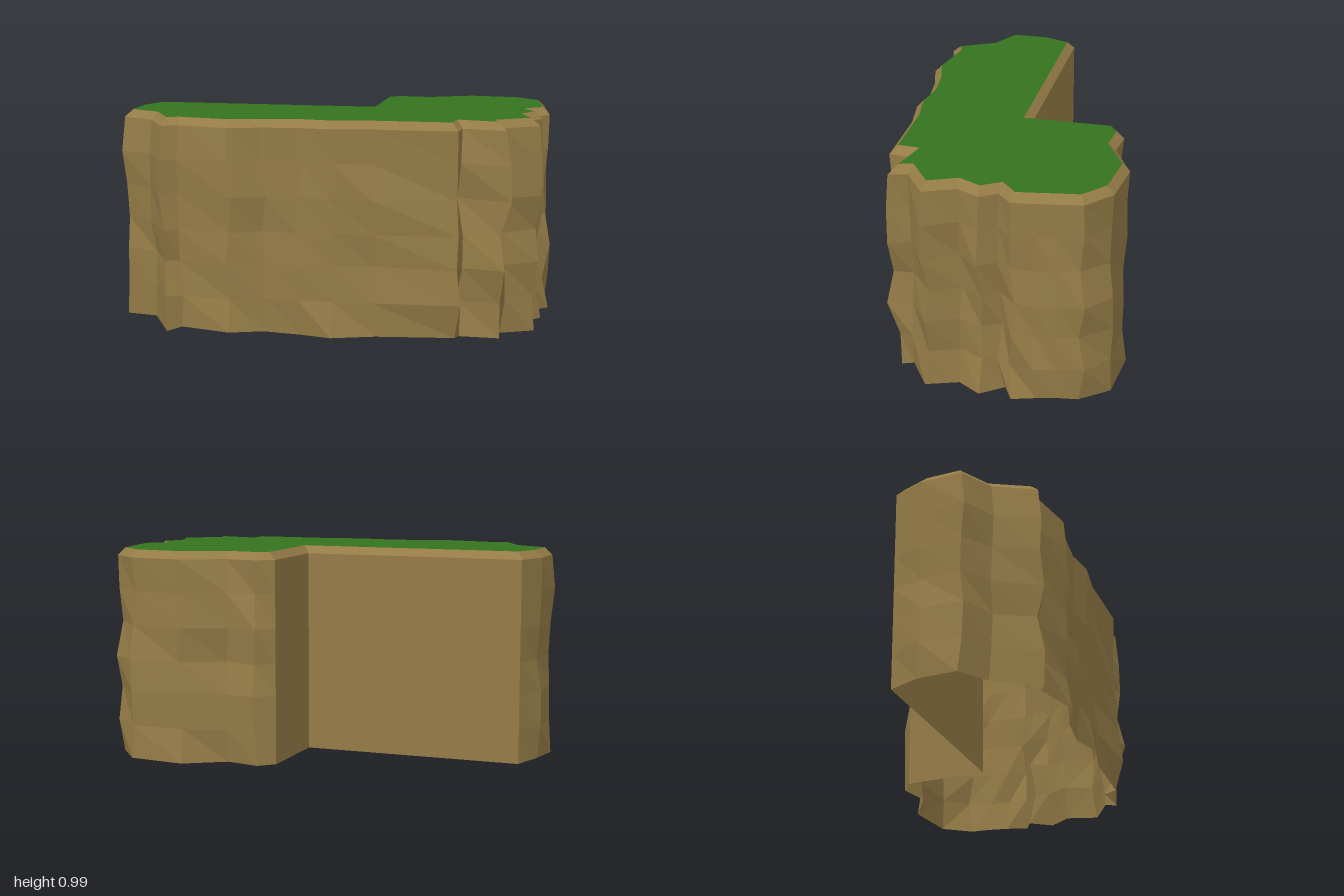
import * as THREE from 'three';

// Edge of the grass, clockwise seen from above: [x, z]
const OUTLINE = [
  [-0.89, -0.015], [0.155, -0.015], [0.165, -0.42], [0.22, -0.455], [0.36, -0.44],
  [0.565, -0.535], [0.79, -0.51], [0.90, -0.42], [0.912, -0.325], [0.925, -0.235],
  [0.935, -0.15], [0.85, -0.08], [0.905, 0.005], [0.85, 0.105], [0.905, 0.235],
  [0.75, 0.335], [0.77, 0.395], [0.585, 0.355], [0.575, 0.455], [0.23, 0.46],
  [0.045, 0.49], [-0.10, 0.47], [-0.27, 0.49], [-0.42, 0.53], [-0.655, 0.49],
  [-0.71, 0.51], [-0.80, 0.345], [-0.945, 0.27], [-0.94, 0.11],
];
const LEVELS = [0.012, 0.17, 0.33, 0.48, 0.64, 0.80, 0.955];
const TOP = 0.99;
const SMOOTH_COLUMNS = 3; // the straight inner corner stays unweathered

function seeded(seed) {
  return () => {
    seed = (seed * 16807) % 2147483647;
    return (seed / 2147483647) * 2 - 1;
  };
}

// Mitred outward direction at each corner
function miters(points) {
  const n = points.length;
  const normal = (a, b) => new THREE.Vector2(b[1] - a[1], a[0] - b[0]).normalize();
  return points.map((p, i) => {
    const a = normal(points[(i + n - 1) % n], p);
    const b = normal(p, points[(i + 1) % n]);
    const m = a.clone().add(b).normalize();
    return m.multiplyScalar(Math.min(1 / m.dot(a), 1.7));
  });
}

// Joins rings of points, bottom to top, into a faceted band
function band(rings) {
  const positions = [];
  for (let r = 0; r + 1 < rings.length; r++) {
    const lo = rings[r], hi = rings[r + 1];
    lo.forEach((p, i) => {
      const j = (i + 1) % lo.length;
      for (const v of [p, hi[i], hi[j], p, hi[j], lo[j]]) positions.push(...v);
    });
  }
  const geometry = new THREE.BufferGeometry();
  geometry.setAttribute('position', new THREE.Float32BufferAttribute(positions, 3));
  geometry.computeVertexNormals();
  return geometry;
}

export function createModel() {
  const group = new THREE.Group();
  group.name = 'grassyCliff';

  const rock = new THREE.MeshStandardMaterial({ color: 0x957c47, flatShading: true, side: THREE.DoubleSide });
  rock.name = 'brownRock';
  const grass = new THREE.MeshStandardMaterial({ color: 0x35731f, flatShading: true, side: THREE.DoubleSide });
  grass.name = 'greenGrass';

  const add = (name, geometry, material) => {
    const mesh = new THREE.Mesh(geometry, material);
    mesh.name = name;
    group.add(mesh);
    return mesh;
  };

  const out = miters(OUTLINE);
  const random = seeded(4217);

  // Weathered rings of the rock wall, open underneath
  const rings = LEVELS.map((y, level) => OUTLINE.map(([x, z], i) => {
    const rough = i < SMOOTH_COLUMNS || level === LEVELS.length - 1 ? 0 : 1;
    const push = 0.033 + rough * 0.018 * random();
    const slide = rough * 0.012 * random();
    const lift = (level === 0 ? 0.01 : 0.004) * random();
    const m = out[i];
    return [x + m.x * push - m.y * slide, y + rough * lift, z + m.y * push + m.x * slide];
  }));
  add('cliffWall', band(rings), rock);

  // Sloping rim between wall and grass
  const edge = OUTLINE.map(([x, z]) => [x, TOP, z]);
  add('cliffRim', band([rings[rings.length - 1], edge]), rock);

  // Flat grass top
  const shape = new THREE.Shape(OUTLINE.map(([x, z]) => new THREE.Vector2(x, -z)));
  const top = new THREE.ShapeGeometry(shape).rotateX(-Math.PI / 2).translate(0, TOP, 0);
  add('grassTop', top, grass);

  return group;
}
